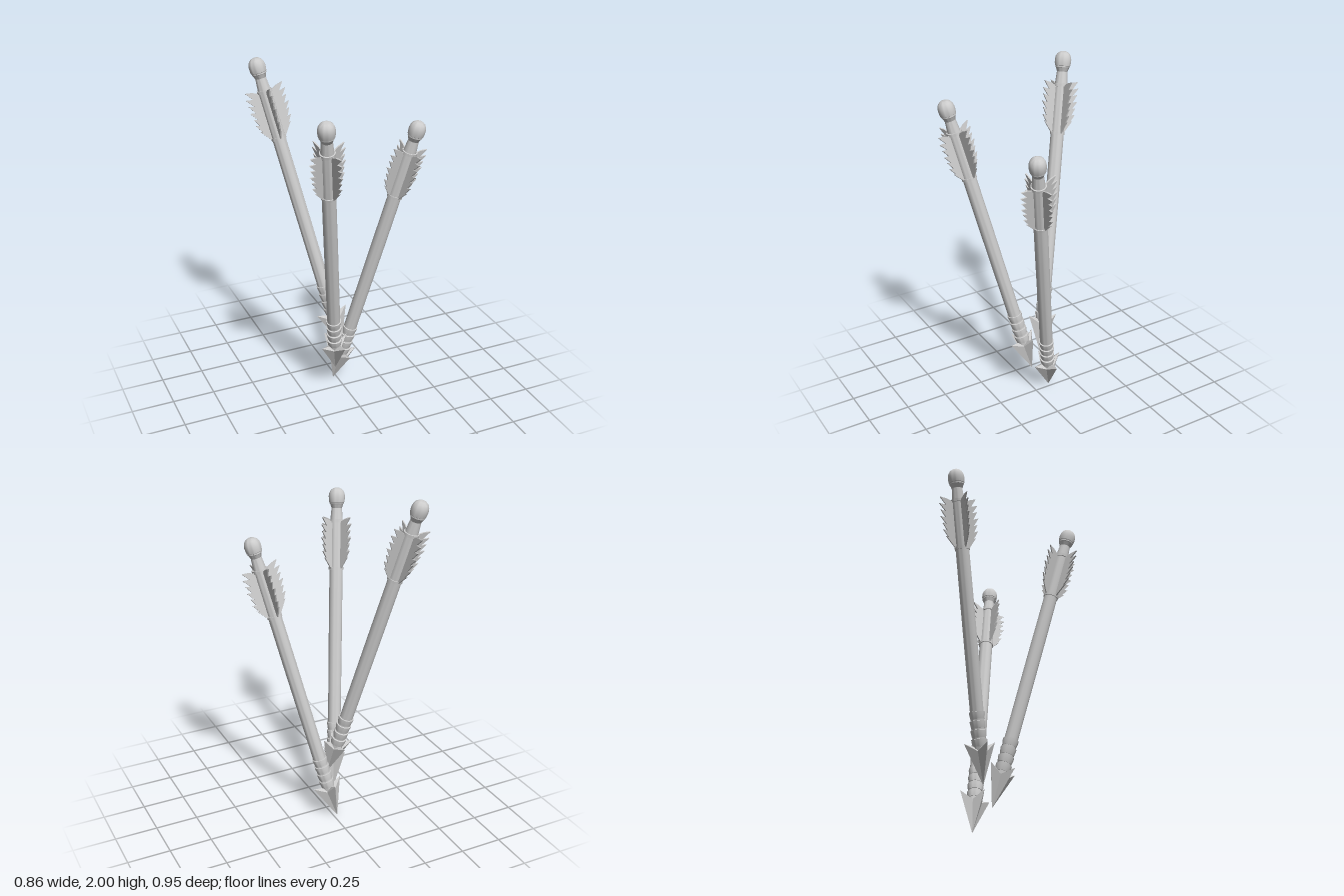
import * as THREE from 'three';
import { toCreasedNormals } from 'three/addons/utils/BufferGeometryUtils.js';

const material = new THREE.MeshStandardMaterial({ color: 0xcccccc });
const flatMaterial = new THREE.MeshStandardMaterial({ color: 0xcccccc, flatShading: true, side: THREE.DoubleSide });

function addMesh(parent, name, geometry, mat = material) {
  const mesh = new THREE.Mesh(geometry, mat);
  mesh.name = name;
  parent.add(mesh);
  return mesh;
}

// Surface of revolution from [radius, height] pairs, with sharp creases kept
function lathe(points) {
  const g = new THREE.LatheGeometry(points.map(([r, y]) => new THREE.Vector2(r, y)), 32);
  return toCreasedNormals(g, 0.6);
}

// Four-barbed point: a star pyramid whose barbs sweep back past the socket
function headGeometry() {
  const tip = [0, 0, 0], back = [0, 0.2, 0], ring = [];
  for (let i = 0; i < 8; i++) {
    const a = (i * Math.PI) / 4 + Math.PI / 4;
    const [r, y] = i % 2 ? [0.042, 0.185] : [0.095, 0.23];
    ring.push([r * Math.sin(a), y, r * Math.cos(a)]);
  }
  const pos = [];
  for (let i = 0; i < 8; i++) {
    const p = ring[i], q = ring[(i + 1) % 8];
    pos.push(...tip, ...q, ...p, ...back, ...p, ...q);
  }
  const g = new THREE.BufferGeometry();
  g.setAttribute('position', new THREE.Float32BufferAttribute(pos, 3));
  g.computeVertexNormals();
  return g;
}

// Feather vane with a ragged, backswept edge
function vaneGeometry() {
  const shape = new THREE.Shape();
  const teeth = 7, start = 1.345, step = 0.038;
  shape.moveTo(0.03, 1.325);
  shape.lineTo(0.042, 1.325);
  for (let i = 0; i < teeth; i++) {
    const y = start + i * step;
    const bulge = 0.012 * Math.sin((Math.PI * (i + 1)) / teeth);
    const reach = 0.088 + 0.004 * i + bulge + (i % 2 ? 0.006 : 0);
    shape.lineTo(reach, y + 0.048);
    shape.lineTo(0.073 + bulge, y + 0.04);
  }
  shape.lineTo(0.045, 1.6);
  shape.lineTo(0.03, 1.6);
  const g = new THREE.ExtrudeGeometry(shape, { depth: 0.008, bevelEnabled: false });
  g.translate(0, 0, -0.004);
  return g;
}

const shaftGeometry = lathe([[0, 0.17], [0.035, 0.17], [0.038, 0.42], [0.039, 1.0], [0.038, 1.58],
  [0.035, 1.62], [0.029, 1.69], [0, 1.69]]);
const bandGeometry = lathe([[0.03, 0], [0.039, 0], [0.044, 0.032], [0.044, 0.04], [0.03, 0.044]]);
const collarGeometry = lathe([[0.03, -0.009], [0.043, -0.008], [0.043, 0.008], [0.03, 0.009]]);
const nockGeometry = lathe([[0.026, 1.67], [0.03, 1.675], [0.037, 1.695], [0.041, 1.7], [0.041, 1.707], [0.044, 1.709],
  [0.0465, 1.725], [0.047, 1.743], [0.044, 1.76], [0.036, 1.776], [0.022, 1.787], [0.01, 1.791], [0, 1.792]]);
const head = headGeometry();
const vane = vaneGeometry();

// One arrow with its tip at the local origin, pointing down
function makeArrow() {
  const arrow = new THREE.Group();
  addMesh(arrow, 'head', head, flatMaterial);
  addMesh(arrow, 'shaft', shaftGeometry);
  for (let i = 0; i < 4; i++) {
    addMesh(arrow, 'bindingBand', bandGeometry).position.y = 0.21 + i * 0.05;
  }
  for (const y of [1.325, 1.6]) addMesh(arrow, 'vaneCollar', collarGeometry).position.y = y;
  for (let i = 0; i < 4; i++) {
    addMesh(arrow, 'vane', vane, flatMaterial).rotation.y = Math.PI / 4 + (i * Math.PI) / 2;
  }
  addMesh(arrow, 'nock', nockGeometry);
  return arrow;
}

export function createModel() {
  const model = new THREE.Group();
  model.name = 'arrows';
  // Tip and nock centre of each arrow
  const arrows = [
    ['backRightArrow', [0.003, 0.283, -0.024], [-0.345, 1.955, -0.387]],
    ['frontRightArrow', [-0.05, 0.145, 0.0], [-0.267, 1.823, 0.4]],
    ['leftArrow', [-0.023, 0.003, -0.103], [0.35, 1.685, 0.203]],
  ];
  for (const [name, tip, top] of arrows) {
    const base = new THREE.Vector3(...tip);
    const dir = new THREE.Vector3(...top).sub(base).normalize();
    const arrow = makeArrow();
    arrow.name = name;
    arrow.position.copy(base);
    // Yaw toward the lean, then pitch over
    arrow.rotation.set(Math.acos(dir.y), Math.atan2(dir.x, dir.z), 0, 'YXZ');
    model.add(arrow);
  }
  return model;
}
